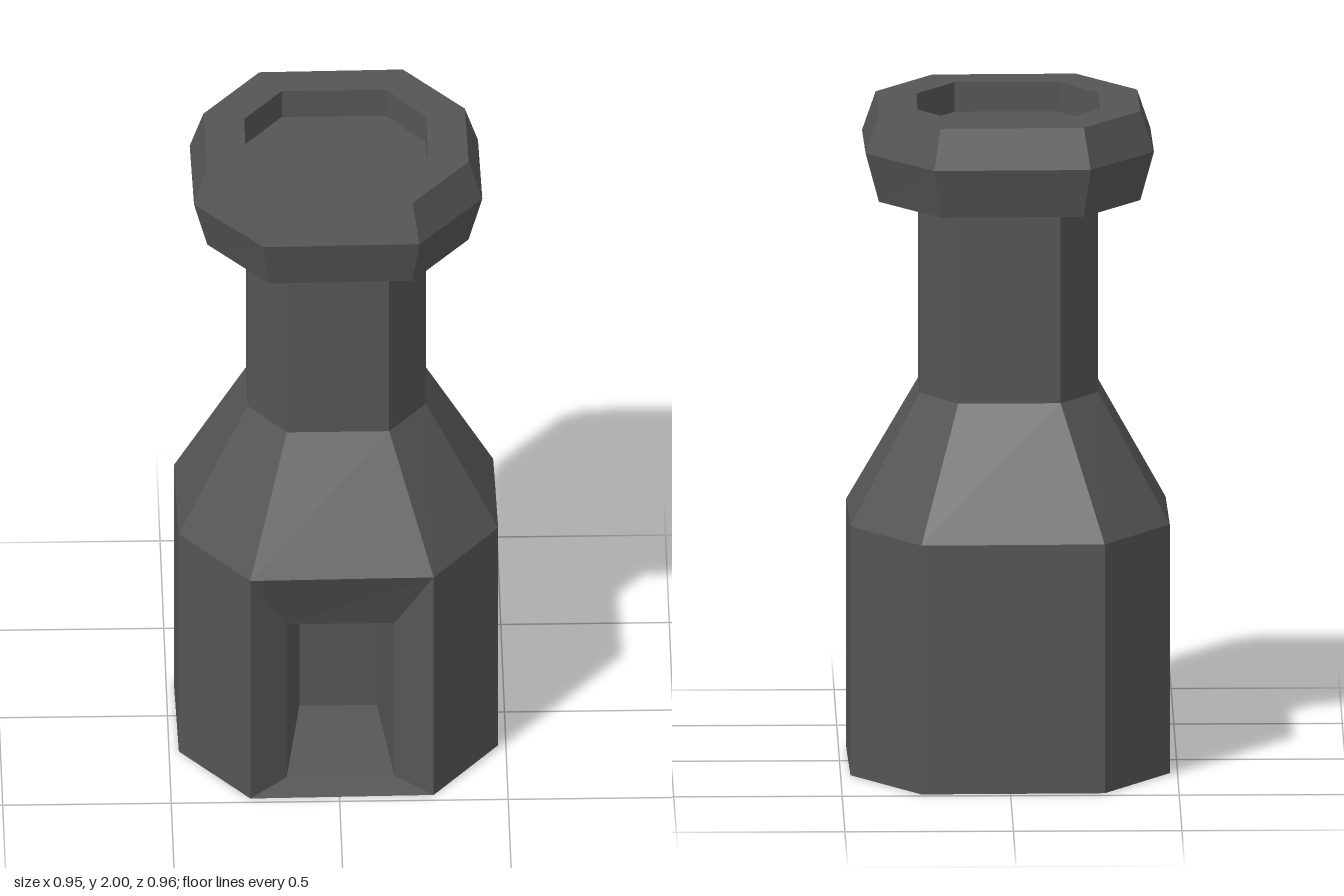
import * as THREE from 'three';

// Slightly twisted octagon ring, counter-clockwise from above.
// hx: half length of front/back sides, ez: front extent, ex: side extent, hz: half length of left/right sides
function octagon(y, hx, ez, ex, hz, twist = 0) {
  const c = Math.cos(twist), s = Math.sin(twist);
  return [[-hx, ez], [hx, ez], [ex, hz], [ex, -hz], [hx, -ez], [-hx, -ez], [-ex, -hz], [-ex, hz]]
    .map(([x, z]) => [x * c + z * s, y, z * c - x * s]);
}

// Upright rectangle ring, counter-clockwise from the front
const rect = (x0, x1, y0, y1, z) => [[x0, y0, z], [x1, y0, z], [x1, y1, z], [x0, y1, z]];

// Faceted skin through a list of rings, with optional caps and skipped panels
function loft(rings, { startCap = false, endCap = false, skip = () => false } = {}) {
  const pos = [];
  const tri = (a, b, c) => pos.push(...a, ...b, ...c);
  const cap = (r) => { for (let i = 1; i < r.length - 1; i++) tri(r[0], r[i], r[i + 1]); };
  for (let k = 0; k < rings.length - 1; k++) {
    const a = rings[k], b = rings[k + 1], n = a.length;
    for (let i = 0; i < n; i++) {
      if (skip(k, i)) continue;
      const j = (i + 1) % n;
      tri(a[i], a[j], b[j]);
      tri(a[i], b[j], b[i]);
    }
  }
  if (startCap) cap([...rings[0]].reverse());
  if (endCap) cap(rings[rings.length - 1]);
  const g = new THREE.BufferGeometry();
  g.setAttribute('position', new THREE.Float32BufferAttribute(pos, 3));
  g.computeVertexNormals();
  return g;
}

export function createModel() {
  const group = new THREE.Group();
  const material = new THREE.MeshStandardMaterial({ color: 0x555555, flatShading: true });
  const add = (name, geometry) => {
    const mesh = new THREE.Mesh(geometry, material);
    mesh.name = name;
    group.add(mesh);
  };
  const twist = 0.016;

  // Base, shoulder and neck; the front base panel is left open for the alcove
  const base = octagon(0, 0.272, 0.474, 0.474, 0.197, twist);
  const baseTop = octagon(0.755, 0.272, 0.474, 0.474, 0.197, twist);
  add('body', loft([
    base,
    baseTop,
    octagon(1.14, 0.152, 0.265, 0.265, 0.11),
    octagon(1.73, 0.152, 0.265, 0.265, 0.11),
  ], { startCap: true, skip: (k, i) => k === 0 && i === 0 }));

  // Bevelled frame and tapered recess in the front panel
  add('frontAlcove', loft([
    [base[0], base[1], baseTop[1], baseTop[0]],
    rect(-0.155, 0.165, 0.02, 0.55, 0.39),
    rect(-0.11, 0.12, 0.06, 0.5, 0.05),
  ], { endCap: true }));

  // Flared rim with a shallow well in the top
  add('rim', loft([
    octagon(1.73, 0.152, 0.265, 0.265, 0.11),
    octagon(1.73, 0.213, 0.382, 0.388, 0.152, twist),
    octagon(1.88, 0.232, 0.42, 0.428, 0.168, twist),
    octagon(2.0, 0.213, 0.382, 0.388, 0.152, twist),
    octagon(2.0, 0.155, 0.27, 0.27, 0.112),
    octagon(1.91, 0.155, 0.27, 0.27, 0.112),
  ], { endCap: true }));

  return group;
}
